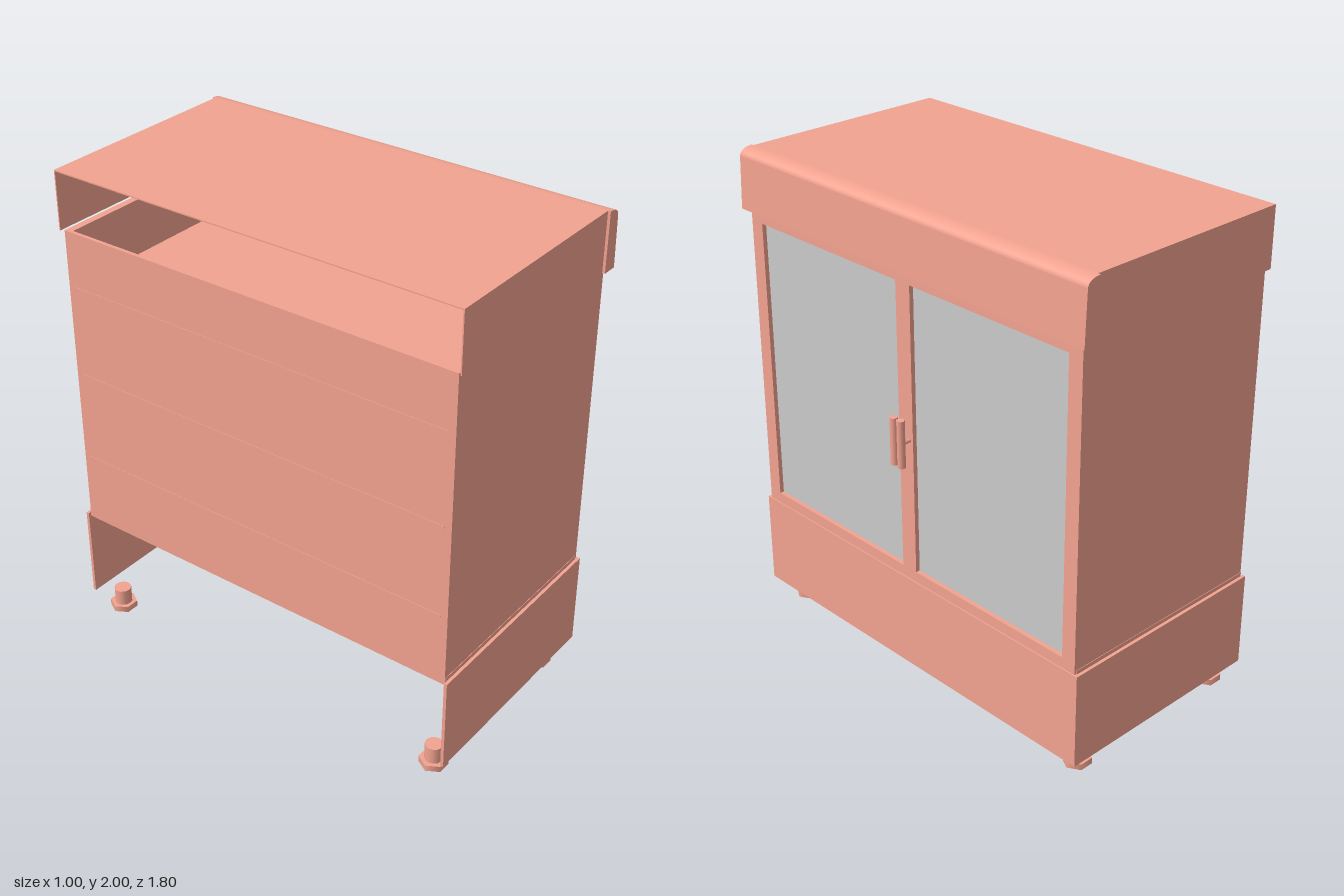
import * as THREE from 'three';

export function createModel() {
  const root = new THREE.Group();
  const paint = new THREE.MeshStandardMaterial({ color: 0xf3a390, side: THREE.DoubleSide });
  const grey = new THREE.MeshStandardMaterial({ color: 0xcccccc });

  function add(name, geometry, parent = root, material = paint) {
    const mesh = new THREE.Mesh(geometry, material);
    mesh.name = name;
    parent.add(mesh);
    return mesh;
  }
  function group(name) {
    const g = new THREE.Group();
    g.name = name;
    root.add(g);
    return g;
  }
  // Box given by its extents on each axis
  function box(name, [x0, x1], [y0, y1], [z0, z1], parent, material) {
    const g = new THREE.BoxGeometry(x1 - x0, y1 - y0, z1 - z0);
    g.translate((x0 + x1) / 2, (y0 + y1) / 2, (z0 + z1) / 2);
    return add(name, g, parent, material);
  }
  // Same box on both ends of the cabinet
  function pair(name, xs, ys, inner, outer, parent) {
    box(name, xs, ys, [inner, outer], parent);
    box(name, xs, ys, [-outer, -inner], parent);
  }

  // Plinth, open behind and below
  const base = group('base');
  pair('baseSide', [-0.5, 0.445], [0.09, 0.485], 0.875, 0.888, base);
  box('baseFront', [0.43, 0.445], [0.09, 0.485], [-0.875, 0.875], base);

  // Carcass, open at the top under the cap
  const body = group('body');
  pair('sideWall', [-0.49, 0.41], [0.48, 1.76], 0.842, 0.872, body);
  box('backPanel', [-0.49, -0.475], [0.5, 1.76], [-0.842, 0.842], body);
  box('floor', [-0.49, 0.43], [0.47, 0.5], [-0.874, 0.874], body);
  for (const y of [0.77, 1.15, 1.53]) {
    box('shelf', [-0.492, 0.39], [y - 0.004, y + 0.004], [-0.842, 0.842], body);
  }

  // Front frame with a window for each door
  const doors = group('doors');
  const frame = new THREE.Shape([
    new THREE.Vector2(-0.872, 0.485), new THREE.Vector2(0.872, 0.485),
    new THREE.Vector2(0.872, 1.76), new THREE.Vector2(-0.872, 1.76),
  ]);
  for (const [a, b] of [[-0.81, -0.037], [0.037, 0.81]]) {
    frame.holes.push(new THREE.Path([
      new THREE.Vector2(a, 0.53), new THREE.Vector2(a, 1.715),
      new THREE.Vector2(b, 1.715), new THREE.Vector2(b, 0.53),
    ]));
    box('glassPane', [0.413, 0.422], [0.52, 1.725], [a - 0.01, b + 0.01], doors, grey);
  }
  const frameGeo = new THREE.ExtrudeGeometry(frame, { depth: 0.03, bevelEnabled: false });
  frameGeo.rotateY(Math.PI / 2).translate(0.41, 0, 0);
  add('doorFrame', frameGeo, doors);

  // Twin handles on short stems
  for (const z of [-0.019, 0.019]) {
    const bar = new THREE.CylinderGeometry(0.016, 0.016, 0.195, 12);
    add('handleBar', bar, doors).position.set(0.482, 1.095, z);
    const stem = new THREE.CylinderGeometry(0.008, 0.008, 0.05, 8).rotateZ(Math.PI / 2);
    add('handleStem', stem, doors).position.set(0.457, 1.095, z);
  }

  // Cap: thin roof and ends, with a rounded front moulding
  const cap = group('cap');
  box('roof', [-0.5, 0.4], [1.995, 2], [-0.888, 0.888], cap);
  pair('capSide', [-0.5, 0.4], [1.76, 1.995], 0.883, 0.888, cap);
  const profile = new THREE.Shape();
  profile.moveTo(0.4, 1.76);
  profile.lineTo(0.465, 1.76);
  profile.lineTo(0.457, 1.97);
  profile.quadraticCurveTo(0.452, 1.998, 0.4, 2);
  profile.closePath();
  const moulding = new THREE.ExtrudeGeometry(profile, { depth: 1.798, bevelEnabled: false, curveSegments: 8 });
  add('frontMoulding', moulding.translate(0, 0, -0.899), cap);

  // Adjustable feet with hexagonal pads
  for (const x of [-0.42, 0.33]) {
    for (const z of [-0.795, 0.795]) {
      const foot = group('foot');
      foot.position.set(x, 0, z);
      const pad = new THREE.CylinderGeometry(0.057, 0.057, 0.026, 6).rotateY(Math.PI / 2);
      add('footPad', pad.translate(0, 0.013, 0), foot);
      const post = new THREE.CylinderGeometry(0.036, 0.036, 0.07, 12);
      add('footPost', post.translate(0, 0.06, 0), foot);
    }
  }
  return root;
}
